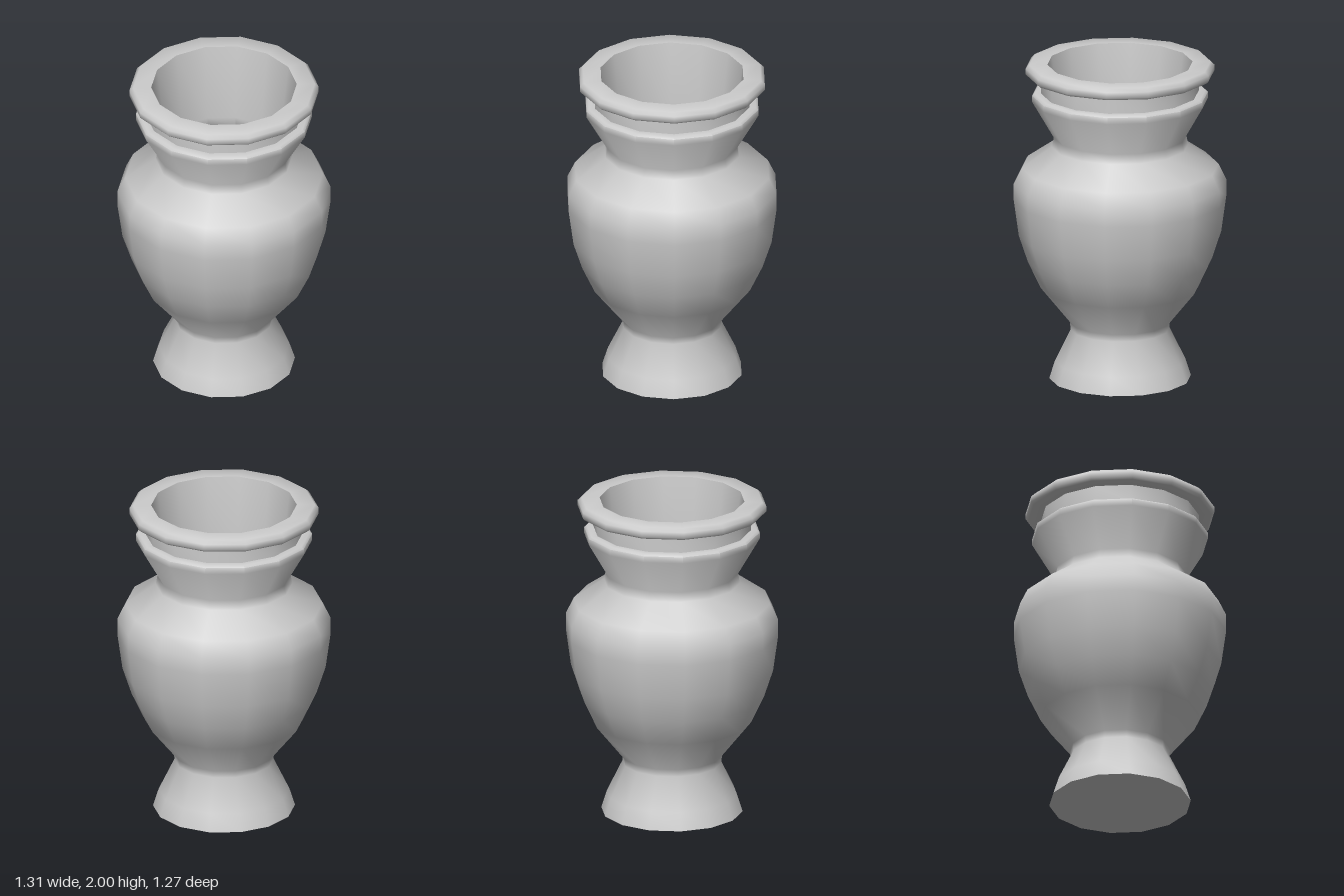
import * as THREE from 'three';
import { toCreasedNormals } from 'three/addons/utils/BufferGeometryUtils.js';

const SIDES = 14;
const material = new THREE.MeshStandardMaterial({ color: 0xcccccc });

// Turn a [radius, height] profile around y, with a corner on the +x axis.
function turned(name, profile) {
  const points = profile.map(([r, y]) => new THREE.Vector2(r, y));
  const lathe = new THREE.LatheGeometry(points, SIDES, Math.PI / 2);
  const mesh = new THREE.Mesh(toCreasedNormals(lathe, 0.9), material);
  mesh.name = name;
  return mesh;
}

export function createModel() {
  const vase = new THREE.Group();
  vase.name = 'vase';

  // Closed base, flared foot, bellied body, neck and flared shoulder ring
  vase.add(turned('body', [
    [0, 0], [0.435, 0], [0.4, 0.11], [0.303, 0.31], [0.308, 0.355],
    [0.487, 0.577], [0.566, 0.745], [0.622, 0.915], [0.653, 1.14],
    [0.653, 1.245], [0.605, 1.345], [0.418, 1.475], [0.407, 1.535],
    [0.54, 1.765], [0.54, 1.805], [0.525, 1.817], [0.485, 1.817],
  ]));

  // Straight collar between the shoulder ring and the lip
  vase.add(turned('collar', [[0.485, 1.817], [0.485, 1.927]]));

  // Overhanging lip with bevelled edges
  vase.add(turned('lip', [
    [0.485, 1.927], [0.565, 1.927], [0.58, 1.942], [0.58, 1.978],
    [0.557, 2], [0.446, 2],
  ]));

  // Hollow inside, following the belly down to a flat floor
  vase.add(turned('interior', [
    [0.446, 2], [0.385, 1.52], [0.39, 1.46], [0.57, 1.335], [0.615, 1.24],
    [0.615, 1.14], [0.585, 0.92], [0.53, 0.755], [0.452, 0.595],
    [0.307, 0.4], [0.3, 0.36], [0, 0.36],
  ]));

  return vase;
}
